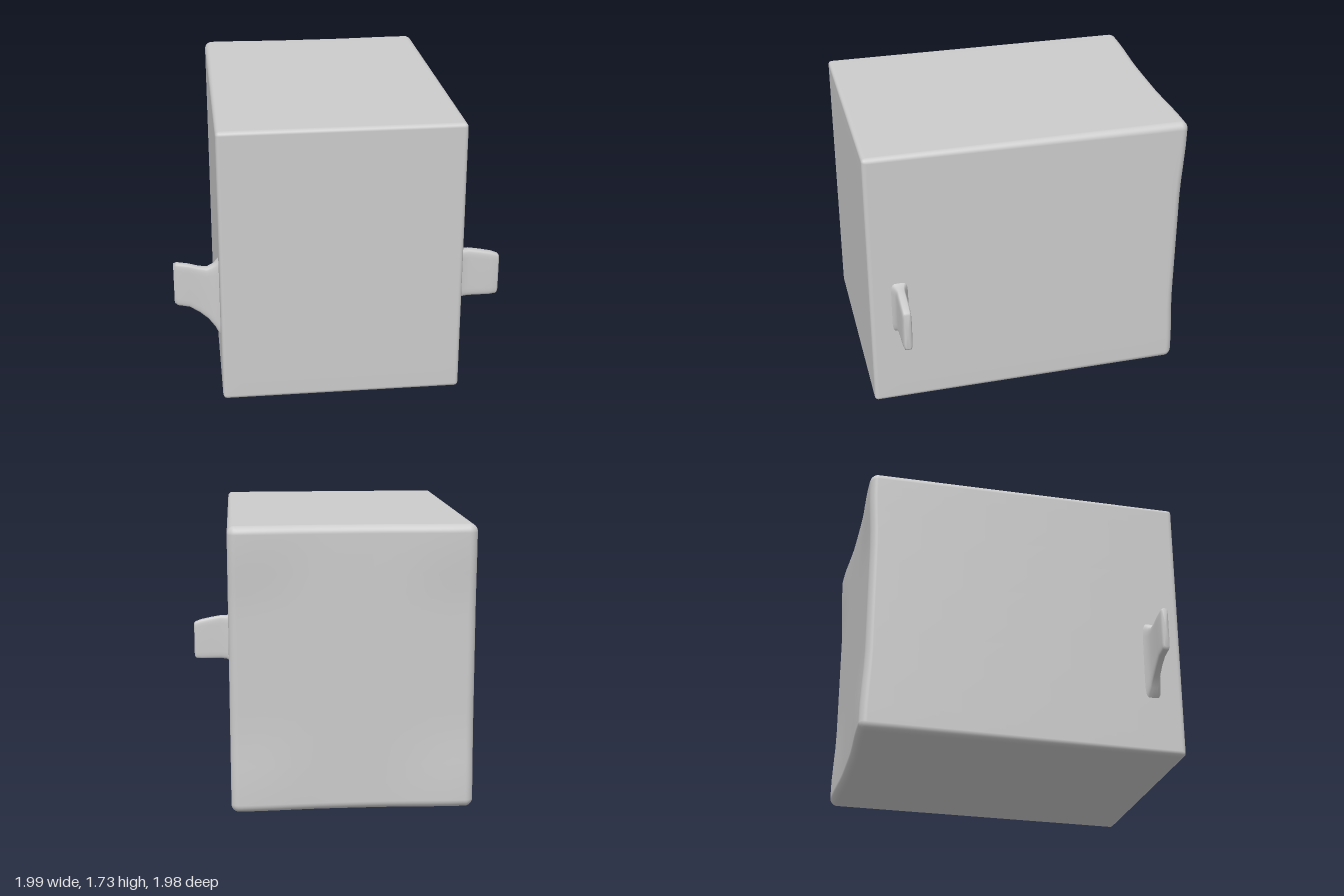
import * as THREE from 'three';
import { mergeVertices } from 'three/addons/utils/BufferGeometryUtils.js';

const grey = new THREE.MeshStandardMaterial({ color: 0xcccccc });
const { clamp, smoothstep } = THREE.MathUtils;

// Block with rounded edges, softer towards the back, and swollen back corners
function roundedBlock(half, center) {
  const N = 22, edge = 4;
  const geo = new THREE.BoxGeometry(2, 2, 2, N, N, N);
  geo.deleteAttribute('uv');
  geo.deleteAttribute('normal');
  const pos = geo.attributes.position;
  // Pack extra grid lines into the rounded margin (returned in units of the half size)
  const spread = (t, h, r) => {
    const k = Math.abs(t) * N / 2, flat = N / 2 - edge;
    const d = k <= flat ? (k / flat) * (h - r) : h - r + r * Math.tan(((k - flat) / edge) * Math.PI / 4);
    return Math.sign(t) * d;
  };
  for (let i = 0; i < pos.count; i++) {
    const t = new THREE.Vector3().fromBufferAttribute(pos, i);
    const r = 0.0375 - 0.0125 * t.z;
    const p = new THREE.Vector3(spread(t.x, half.x, r), spread(t.y, half.y, r), spread(t.z, half.z, r));
    const inner = new THREE.Vector3(
      clamp(p.x, -half.x + r, half.x - r),
      clamp(p.y, -half.y + r, half.y - r),
      clamp(p.z, -half.z + r, half.z - r));
    p.sub(inner).setLength(r).add(inner);
    const corner = smoothstep(Math.abs(p.x) / half.x, 0.2, 0.85) * smoothstep(Math.abs(p.y) / half.y, 0.4, 0.9);
    if (p.z < 0) p.z -= 0.018 * corner * smoothstep(-p.z / half.z, 0.9, 0.97);
    p.add(center);
    pos.setXYZ(i, p.x, p.y, p.z);
  }
  const merged = mergeVertices(geo, 1e-4);
  merged.computeVertexNormals();
  return merged;
}

// Side tab lofted through sections [distance out, bottom, top, half thickness]
function tab(sections, zc, side) {
  const M = 24, verts = [], index = [];
  const power = (v, e) => Math.sign(v) * Math.abs(v) ** e;
  for (const [x, y0, y1, hz] of sections) {
    for (let j = 0; j < M; j++) {
      const a = (j / M) * Math.PI * 2;
      verts.push(side * x, (y0 + y1) / 2 + power(Math.cos(a), 0.3) * (y1 - y0) / 2, zc + power(Math.sin(a), 0.4) * hz);
    }
  }
  const tri = (a, b, c) => (side > 0 ? index.push(a, b, c) : index.push(a, c, b));
  for (let i = 0; i < sections.length - 1; i++) {
    for (let j = 0; j < M; j++) {
      const a = i * M + j, b = i * M + (j + 1) % M;
      tri(a, b, a + M);
      tri(b, b + M, a + M);
    }
  }
  // End cap
  const last = sections[sections.length - 1], base = (sections.length - 1) * M;
  verts.push(side * last[0], (last[1] + last[2]) / 2, zc);
  for (let j = 0; j < M; j++) tri(base + j, base + (j + 1) % M, base + M);
  const geo = new THREE.BufferGeometry();
  geo.setAttribute('position', new THREE.Float32BufferAttribute(verts, 3));
  geo.setIndex(index);
  geo.computeVertexNormals();
  return geo;
}

export function createModel() {
  const model = new THREE.Group();
  model.name = 'boxWithSideTabs';
  const add = (name, geo) => {
    const mesh = new THREE.Mesh(geo, grey);
    mesh.name = name;
    model.add(mesh);
  };

  add('body', roundedBlock(new THREE.Vector3(0.73, 0.863, 0.983), new THREE.Vector3(0, 0.868, 0.007)));

  // Left tab: nearly square
  add('leftTab', tab([
    [0.71, 0.51, 0.88, 0.06], [0.735, 0.53, 0.87, 0.05], [0.76, 0.545, 0.86, 0.036], [0.80, 0.55, 0.862, 0.03],
    [0.87, 0.55, 0.85, 0.03], [0.94, 0.55, 0.835, 0.029], [0.98, 0.555, 0.82, 0.027], [0.99, 0.57, 0.81, 0.018],
  ], 0.805, 1));

  // Right tab: sweeps down towards the body
  add('rightTab', tab([
    [0.71, 0.35, 0.89, 0.06], [0.735, 0.37, 0.86, 0.048], [0.76, 0.42, 0.835, 0.034], [0.80, 0.475, 0.815, 0.028],
    [0.85, 0.52, 0.822, 0.025], [0.91, 0.56, 0.84, 0.025], [0.98, 0.575, 0.852, 0.025], [1.0, 0.59, 0.847, 0.018],
  ], 0.797, -1));

  return model;
}
